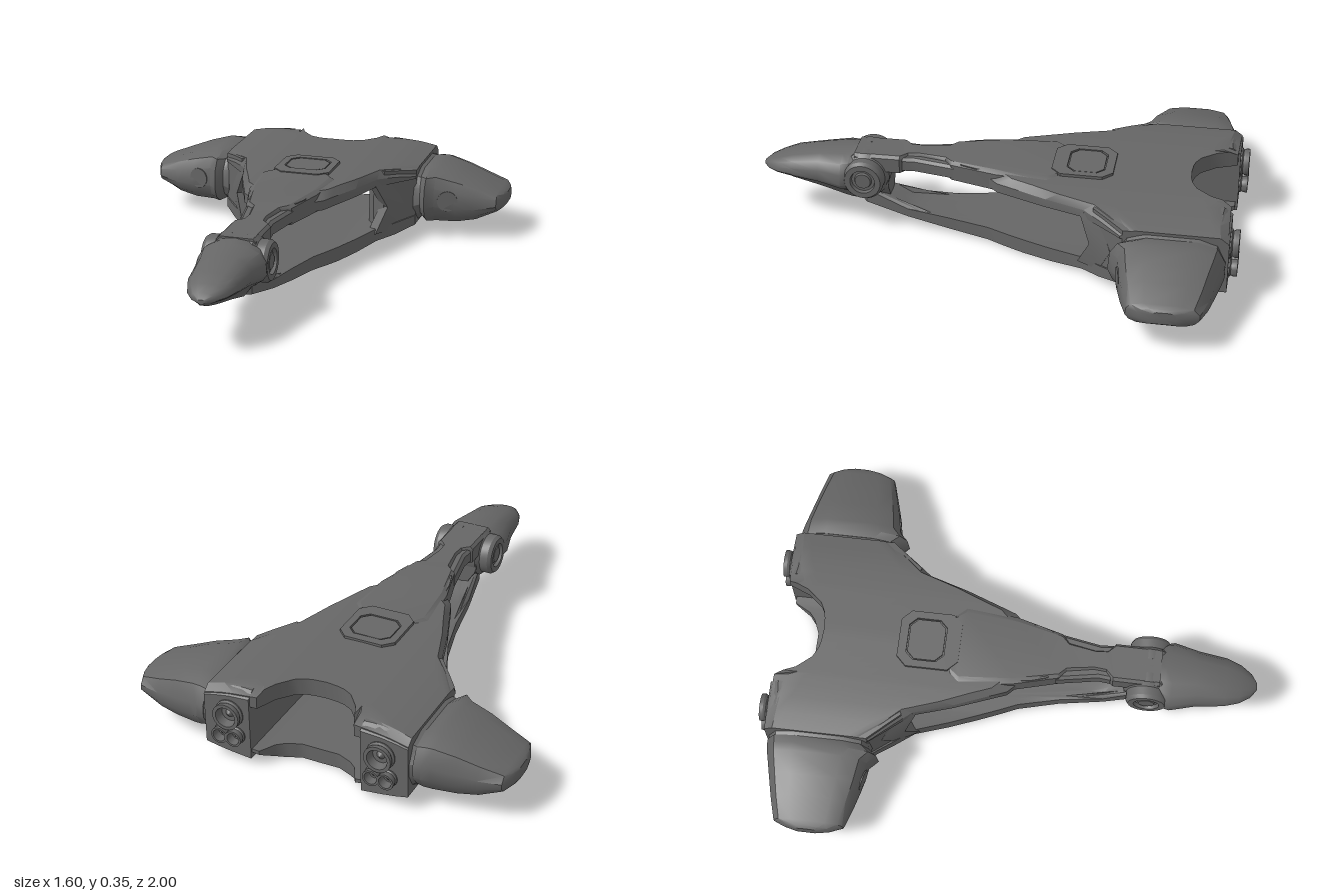
import * as THREE from 'three';
import { toCreasedNormals } from 'three/addons/utils/BufferGeometryUtils.js';

const hullGrey = new THREE.MeshStandardMaterial({ color: 0x666666 });
hullGrey.name = 'hull grey';

// Linear interpolation through [key, value] pairs with ascending keys
function curve(pairs) {
  return (t) => {
    if (t <= pairs[0][0]) return pairs[0][1];
    for (let i = 1; i < pairs.length; i++) {
      const [a, va] = pairs[i - 1], [b, vb] = pairs[i];
      if (t <= b) return va + ((vb - va) * (t - a)) / (b - a);
    }
    return pairs[pairs.length - 1][1];
  };
}

// Closed skin over a row of rings; faces are always turned outward
function loft(rings, crease = 0.5) {
  const n = rings[0].length, pos = [], idx = [];
  rings.forEach((r) => r.forEach((p) => pos.push(...p)));
  for (let i = 0; i < rings.length - 1; i++) {
    for (let j = 0; j < n; j++) {
      const a = i * n + j, b = i * n + ((j + 1) % n);
      idx.push(a, b, a + n, b, b + n, a + n);
    }
  }
  [0, rings.length - 1].forEach((i) => {
    const c = pos.length / 3;
    pos.push(...[0, 1, 2].map((k) => rings[i].reduce((s, p) => s + p[k], 0) / n));
    for (let j = 0; j < n; j++) {
      const a = i * n + j, b = i * n + ((j + 1) % n);
      if (i === 0) idx.push(c, b, a); else idx.push(c, a, b);
    }
  });
  const v = (i) => new THREE.Vector3().fromArray(pos, i * 3);
  let volume = 0;
  for (let i = 0; i < idx.length; i += 3) volume += v(idx[i]).dot(v(idx[i + 1]).cross(v(idx[i + 2])));
  if (volume < 0) idx.reverse();
  const g = new THREE.BufferGeometry();
  g.setAttribute('position', new THREE.Float32BufferAttribute(pos, 3));
  g.setIndex(idx);
  return toCreasedNormals(g, crease);
}

// Slab running across x, bounded by front and rear edge curves and two height rules
function slab(xs, front, rear, top, bottom, steps = 14) {
  return loft(xs.map((x) => {
    const a = Math.abs(x), f = front(a), r = rear(a), ring = [];
    for (let j = 0; j <= steps; j++) {
      const z = f + ((r - f) * j) / steps;
      ring.push([x, top(a, z), z]);
    }
    for (let j = steps; j >= 0; j--) {
      const z = f + ((r - f) * j) / steps;
      ring.push([x, bottom(a, z), z]);
    }
    return ring;
  }));
}

export function createModel() {
  const model = new THREE.Group();
  const add = (name, geometry, parent = model) => {
    const m = new THREE.Mesh(geometry, hullGrey);
    m.name = name;
    parent.add(m);
    return m;
  };

  const half = [0.03, 0.05, 0.08, 0.1, 0.12, 0.14, 0.17, 0.19, 0.205, 0.25, 0.3, 0.36, 0.43];
  const across = [...half.map((x) => -x).reverse(), 0, ...half];

  // Upper deck with a round bay cut in the rear
  const deckTop = curve([[0, 0.342], [0.2, 0.337], [0.34, 0.328], [0.43, 0.308]]);
  const deckFront = curve([[0, 0.15], [0.1, 0.15], [0.14, 0.02], [0.17, -0.01], [0.25, -0.22], [0.3, -0.38], [0.43, -0.54]]);
  const deckRear = curve([[0, -0.78], [0.07, -0.785], [0.12, -0.81], [0.17, -0.87], [0.205, -0.955], [0.43, -0.96]]);
  const tailDrop = curve([[-0.97, 0.03], [-0.93, 0], [1, 0]]);
  add('upperDeck', slab(across, deckFront, deckRear,
    (x, z) => deckTop(x) - tailDrop(z) - 0.03 * Math.max(0, 1 - (deckFront(x) - z) / 0.04) * (x > 0.12 ? 1 : 0),
    () => 0.268));

  // Lower deck, narrowing into the keel under the head
  const keelBottom = curve([[-0.97, 0.06], [-0.87, 0.005], [-0.2, 0.005], [0, 0.015], [0.25, 0.03], [0.45, 0.07], [0.6, 0.1]]);
  const keelTop = curve([[-0.97, 0.07], [-0.3, 0.068], [0.2, 0.078], [0.38, 0.092], [0.45, 0.13], [0.6, 0.16]]);
  const bilge = curve([[0, 0], [0.2, 0.002], [0.25, 0.01], [0.36, 0.03], [0.43, 0.055]]);
  add('lowerDeck', slab(across,
    curve([[0, 0.6], [0.05, 0.56], [0.08, 0.38], [0.1, 0.2], [0.14, 0.03], [0.17, -0.04], [0.25, -0.24], [0.3, -0.38], [0.43, -0.54]]),
    curve([[0, -0.84], [0.08, -0.84], [0.14, -0.865], [0.17, -0.89], [0.205, -0.955], [0.43, -0.96]]),
    (x, z) => keelTop(z) + bilge(x) * 0.6, (x, z) => Math.min(keelBottom(z) + bilge(x), keelTop(z) - 0.005), 24));

  // Neck and raised spine
  const spine = [[0.6, 0.08, 0.334], [0.41, 0.08, 0.336], [0.38, 0.045, 0.337], [0.33, 0.04, 0.338],
    [0.22, 0.06, 0.34], [0.19, 0.095, 0.342], [0, 0.145, 0.346], [-0.21, 0.165, 0.347], [-0.25, 0.13, 0.347]];
  add('spine', loft(spine.map(([z, w, t]) => [
    [-w, 0.262, z], [w, 0.262, z], [w, t - 0.012, z], [w * 0.85, t, z], [-w * 0.85, t, z], [-w, t - 0.012, z]])));

  // Hatch and its surround
  const octagon = (C, w, z0, z1, c) => {
    const s = new C();
    [[w - c, z0], [w, z0 + c], [w, z1 - c], [w - c, z1], [c - w, z1], [-w, z1 - c], [-w, z0 + c], [c - w, z0]]
      .forEach(([x, z], i) => (i ? s.lineTo(x, z) : s.moveTo(x, z)));
    s.closePath();
    return s;
  };
  const rim = octagon(THREE.Shape, 0.12, 0.22, 0.47, 0.04);
  rim.holes.push(octagon(THREE.Path, 0.09, 0.28, 0.435, 0.03));
  const plate = (s, depth) => new THREE.ExtrudeGeometry(s, { depth, bevelEnabled: false }).rotateX(-Math.PI / 2);
  add('hatchSurround', plate(rim, 0.012)).position.y = 0.339;
  add('hatch', plate(octagon(THREE.Shape, 0.085, 0.285, 0.43, 0.03), 0.008)).position.y = 0.341;

  // Head: z, half width, top, bottom
  const head = [[1, 0.015, 0.225, 0.205], [0.975, 0.05, 0.243, 0.193], [0.93, 0.08, 0.263, 0.182], [0.87, 0.1, 0.287, 0.168],
    [0.75, 0.115, 0.313, 0.14], [0.65, 0.14, 0.326, 0.115], [0.62, 0.132, 0.33, 0.106],
    [0.56, 0.085, 0.335, 0.095], [0.46, 0.075, 0.335, 0.09]];
  add('head', loft(head.map(([z, w, t, b]) => {
    const side = [[0.3, 0], [0.55, 0.2], [0.9, 0.36], [1, 0.46], [0.98, 0.68], [0.8, 0.87], [0.45, 0.97]]
      .map(([u, v]) => [u * w, b + v * (t - b), z]);
    return [...side, [0, t, z], ...side.map(([x, y]) => [-x, y, z]).reverse()];
  }), 0.7));

  // Wing stations: x, front z, rear z, bottom, top
  const wing = [[0.445, -0.54, -0.955, 0.085, 0.29], [0.475, -0.5, -0.955, 0.073, 0.296], [0.51, -0.535, -0.948, 0.07, 0.296],
    [0.6, -0.553, -0.928, 0.07, 0.272], [0.68, -0.575, -0.91, 0.083, 0.242], [0.77, -0.602, -0.885, 0.122, 0.208],
    [0.79, -0.65, -0.84, 0.133, 0.2], [0.8, -0.7, -0.8, 0.142, 0.193]];
  const foil = [[0, 0.35], [0.015, 0.7], [0.08, 0.9], [0.25, 1], [0.75, 1], [0.92, 0.9], [1, 0.6], [1, 0.35], [0.93, 0.12], [0.82, 0], [0.15, 0], [0.05, 0.14]];

  [['left', 1], ['right', -1]].forEach(([sideName, s]) => {
    const g = new THREE.Group();
    g.name = sideName + 'Side';
    model.add(g);

    // Nacelle block joining the decks
    const xs = [0.235, 0.27, 0.32, 0.38, 0.43].map((x) => x * s);
    add('nacelle', slab(xs,
      curve([[0.235, -0.5], [0.27, -0.44], [0.32, -0.42], [0.43, -0.55]]), () => -0.965,
      (x, z) => deckTop(x) - 0.004 - tailDrop(z), (x) => 0.03 + bilge(x) * 0.6), g);

    // Slanted brace at the mouth of the nacelle
    add('brace', loft([[0.3, -0.36, 0.06], [0.34, -0.41, 0.17], [0.29, -0.36, 0.29]].map(([x, z, y]) => [
      [s * (x - 0.04), y, z - 0.03], [s * x, y, z], [s * (x + 0.05), y, z - 0.09], [s * x, y, z - 0.12]])), g);

    // Recessed collar and wing
    const section = ([x, f, r, b, t]) => foil.map(([u, v]) => [s * x, b + v * (t - b), f + u * (r - f)]);
    add('wingCollar', loft([section([0.42, -0.535, -0.955, 0.06, 0.3]), section([0.45, -0.535, -0.95, 0.085, 0.286])]), g);
    add('wing', loft(wing.map(section), 0.6), g);
    const disc = add('wingDisc', new THREE.CylinderGeometry(0.044, 0.044, 0.03, 28).rotateX(Math.PI / 2), g);
    disc.position.set(s * 0.565, 0.175, -0.562);
    disc.rotation.y = s * 0.25;

    // Rails beside the neck
    add('neckRail', loft([[0.4, 0.025, 0.075], [0.35, 0.025, 0.07], [0.18, 0.05, 0.1]].map(([z, a, b]) => [
      [s * a, 0.272, z], [s * b, 0.272, z], [s * b, 0.315, z], [s * (b - 0.012), 0.326, z], [s * a, 0.326, z]])), g);

    // Round pod behind the head
    const pod = new THREE.LatheGeometry([[0, 0.03], [0.1, 0.03], [0.1, 0.07], [0.085, 0.085], [0.085, 0.12], [0.075, 0.135],
      [0.052, 0.135], [0.048, 0.12], [0.036, 0.12], [0.032, 0.13], [0, 0.13]].map((p) => new THREE.Vector2(...p)), 28);
    const podMesh = add('headPod', toCreasedNormals(pod.rotateZ(-s * Math.PI / 2), 0.5), g);
    podMesh.position.set(0, 0.236, 0.555);

    // Engine cluster: one large and two small nozzles
    [[0.32, 0.222, 0.056], [0.292, 0.13, 0.034], [0.352, 0.13, 0.034]].forEach(([x, y, r]) => {
      const nozzle = new THREE.LatheGeometry([[0, 0], [1.05, 0], [1.05, 0.03], [0.9, 0.035], [1, 0.045], [1, 0.06],
        [0.75, 0.06], [0.6, 0.025], [0.3, 0.025], [0, 0.04]].map(([u, h]) => new THREE.Vector2(u * r, h)), 24);
      add('engineNozzle', toCreasedNormals(nozzle.rotateX(-Math.PI / 2), 0.5), g).position.set(s * x, y, -0.94);
    });
  });

  return model;
}
